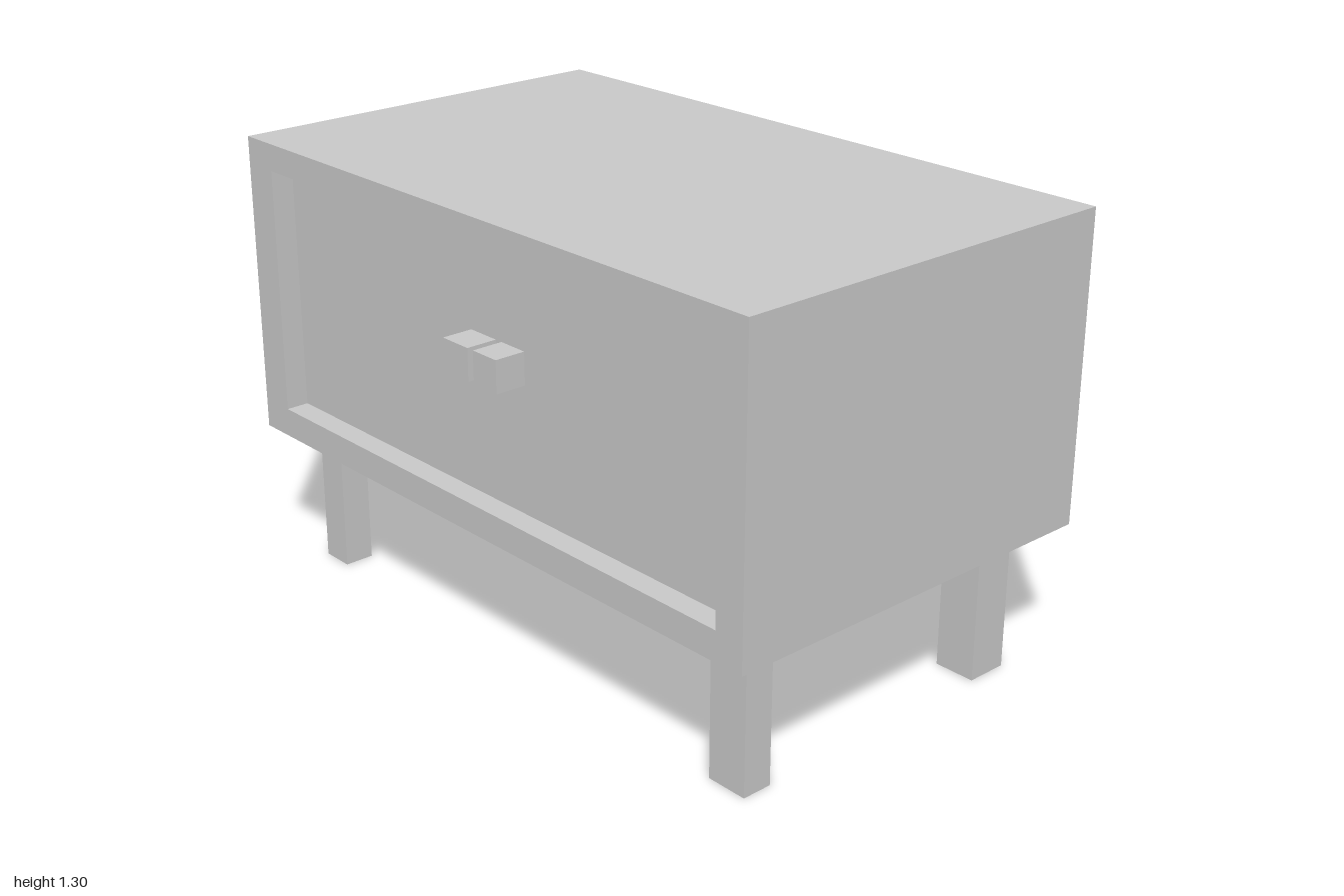
import * as THREE from 'three';

const material = new THREE.MeshStandardMaterial({ color: 0xcccccc, flatShading: true });

// Box given by its extents along each axis
function addBox(parent, name, [x0, x1], [y0, y1], [z0, z1]) {
  const mesh = new THREE.Mesh(new THREE.BoxGeometry(x1 - x0, y1 - y0, z1 - z0), material);
  mesh.position.set((x0 + x1) / 2, (y0 + y1) / 2, (z0 + z1) / 2);
  mesh.name = name;
  parent.add(mesh);
}

function rectangle(PathType, z0, z1, y0, y1) {
  return new PathType([[z0, y0], [z1, y0], [z1, y1], [z0, y1]].map(([z, y]) => new THREE.Vector2(z, y)));
}

export function createModel() {
  const model = new THREE.Group();
  model.name = 'nightstand';
  const bottom = 0.418, top = 1.297;
  const panelX = -0.53, rimX = -0.598;

  // Cabinet body, whose -x face is the recessed drawer front
  addBox(model, 'cabinet', [panelX, 0.618], [bottom, top], [-1, 1]);

  // Raised rim around the drawer front
  const outline = rectangle(THREE.Shape, -1, 1, bottom, top);
  outline.holes.push(rectangle(THREE.Path, -0.89, 0.91, 0.503, 1.219));
  const rim = new THREE.Mesh(
    new THREE.ExtrudeGeometry(outline, { depth: panelX - rimX, bevelEnabled: false }), material);
  rim.rotation.y = -Math.PI / 2;
  rim.position.x = panelX;
  rim.name = 'drawerRim';
  model.add(rim);

  // Pair of square knobs
  for (const [name, z] of [['knobBack', [-0.08, 0.022]], ['knobFront', [0.045, 0.137]]]) {
    addBox(model, name, [-0.621, panelX], [0.864, 0.956], z);
  }

  // Legs: thicker on the +x side, deeper at the front
  const legX = { Left: [0.366, 0.49], Right: [-0.491, -0.402] };
  const legZ = { front: [0.785, 0.908], back: [-0.89, -0.79] };
  for (const [end, z] of Object.entries(legZ)) {
    for (const [side, x] of Object.entries(legX)) {
      addBox(model, `${end}${side}Leg`, x, [0, bottom], z);
    }
  }
  return model;
}
